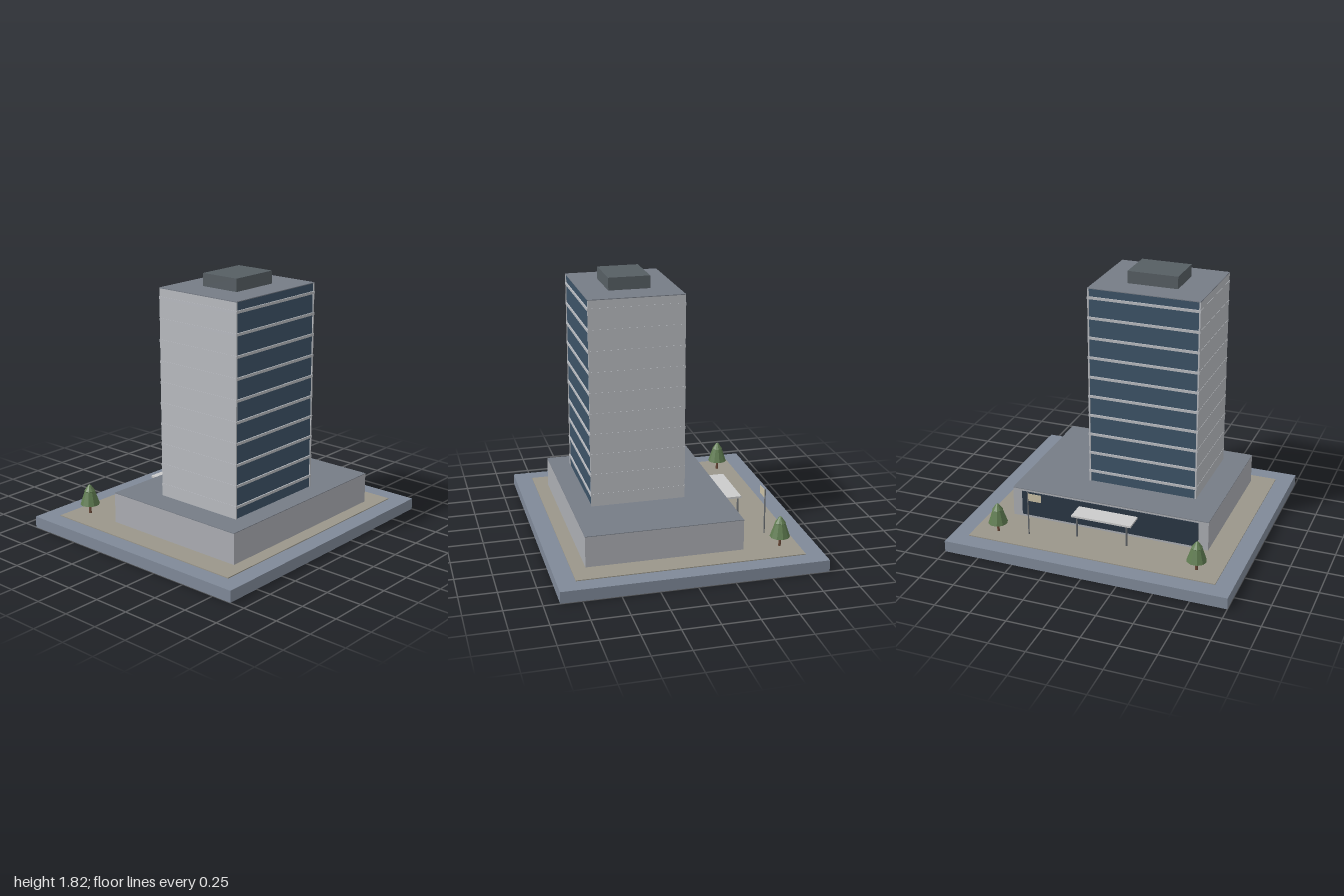
import * as THREE from 'three';

const mat = (color, extra = {}) => new THREE.MeshStandardMaterial({ color, ...extra });
const M = {
  base: mat(0x7f8998), plaza: mat(0x9a968a), podium: mat(0xabadb2), wall: mat(0xb8bbc0),
  roof: mat(0x767c86), glass: mat(0x3c5266), darkGlass: mat(0x2a3644), plant: mat(0x565e63),
  canopy: mat(0xcccccc), metal: mat(0x6a6e72), flag: mat(0xc8bfa4, { side: THREE.DoubleSide }),
  trunk: mat(0x6b4a38), leaf: mat(0x5f7b50, { flatShading: true }),
};

export function createModel() {
  const model = new THREE.Group();

  function add(name, geometry, material, x = 0, y = 0, z = 0, parent = model) {
    const mesh = new THREE.Mesh(geometry, material);
    mesh.name = name;
    mesh.position.set(x, y, z);
    parent.add(mesh);
    return mesh;
  }
  // Box given by its extents along each axis
  const block = (name, material, [x0, x1], [y0, y1], [z0, z1], parent) =>
    add(name, new THREE.BoxGeometry(x1 - x0, y1 - y0, z1 - z0), material,
      (x0 + x1) / 2, (y0 + y1) / 2, (z0 + z1) / 2, parent);
  const post = (name, material, r, x, y0, y1, z, parent) =>
    add(name, new THREE.CylinderGeometry(r, r, y1 - y0, 8), material, x, (y0 + y1) / 2, z, parent);

  // Ground
  block('groundSlab', M.base, [-0.893, 0.893], [0, 0.08], [-1, 1]);
  block('plaza', M.plaza, [-0.77, 0.77], [0.08, 0.086], [-0.88, 0.88]);

  // Podium with glazed entrance side
  block('podium', M.podium, [-0.393, 0.675], [0.086, 0.297], [-0.715, 0.715]);
  block('podiumRoof', M.roof, [-0.393, 0.675], [0.297, 0.301], [-0.715, 0.715]);
  block('entranceGlass', M.darkGlass, [-0.4, -0.39], [0.105, 0.284], [-0.645, 0.645]);

  // Entrance canopy
  const canopy = new THREE.Group();
  canopy.name = 'entranceCanopy';
  model.add(canopy);
  block('canopyRoof', M.canopy, [-0.537, -0.39], [0.234, 0.248], [-0.215, 0.215], canopy);
  for (const z of [-0.18, 0.18]) post('canopyPost', M.metal, 0.007, -0.523, 0.086, 0.234, z, canopy);

  // Tower: glass core, solid end walls, floor bands
  const tower = new THREE.Group();
  tower.name = 'tower';
  model.add(tower);
  const bottom = 0.301, top = 1.727, floors = 10, step = (top - bottom) / floors;
  block('glassCore', M.glass, [-0.109, 0.533], [bottom, top], [-0.242, 0.527], tower);
  block('backWall', M.wall, [-0.115, 0.539], [bottom, top], [-0.251, -0.241], tower);
  block('frontWall', M.wall, [-0.115, 0.539], [bottom, top], [0.526, 0.536], tower);
  for (let i = 0; i < floors; i++) {
    const y = bottom + step * (i + 0.56);
    block('floorBand', M.wall, [-0.117, 0.541], [y - 0.009, y + 0.009], [-0.253, 0.538], tower);
  }
  block('towerRoof', M.roof, [-0.115, 0.539], [top, top + 0.005], [-0.251, 0.536], tower);
  block('roofPlantRoom', M.plant, [0.07, 0.355], [1.732, 1.818], [-0.035, 0.32], tower);

  // Flagpole
  post('flagpole', M.metal, 0.005, -0.61, 0.086, 0.408, -0.5);
  block('flag', M.flag, [-0.612, -0.608], [0.344, 0.398], [-0.497, -0.402]);

  // Trees
  const crown = [[0, 0.155], [0.068, 0.155], [0.036, 0.25], [0.038, 0.253], [0.012, 0.29], [0, 0.3]]
    .map(([r, y]) => new THREE.Vector2(r, y));
  for (const z of [-0.715, 0.715]) {
    const tree = new THREE.Group();
    tree.name = 'tree';
    tree.position.set(-0.645, 0, z);
    model.add(tree);
    post('trunk', M.trunk, 0.009, 0, 0.086, 0.17, 0, tree);
    add('crown', new THREE.LatheGeometry(crown, 10), M.leaf, 0, 0, 0, tree);
  }
  return model;
}
